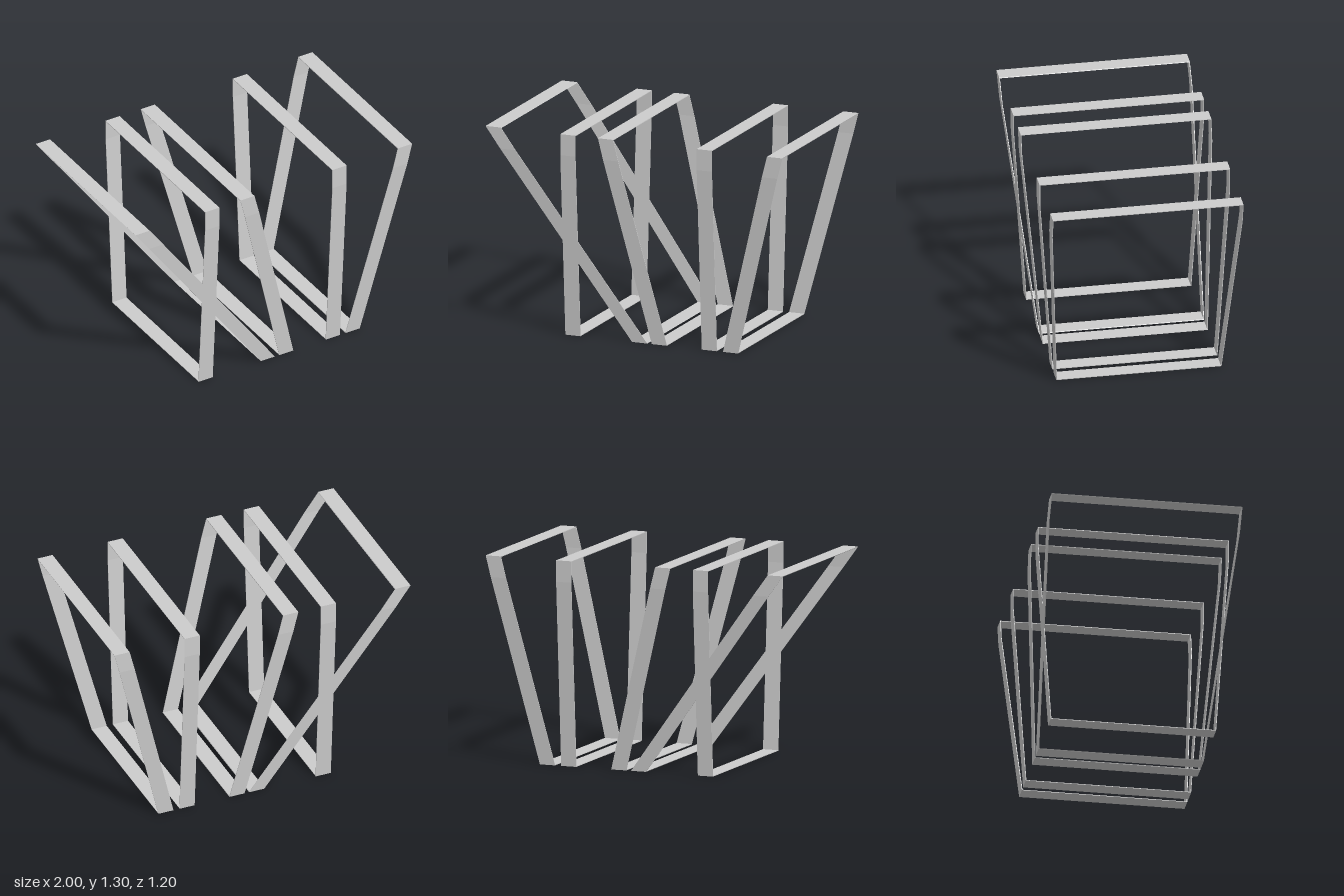
import * as THREE from 'three';

const HEIGHT = 1.305, KINK = 1.17, WIDTH = 0.102, THICK = 0.004;

// Half outline of a frame, from the bottom corner up to the top corner: [z, y]
const half = [[0.52, 0], [0.6, KINK], [0.6, HEIGHT]];
const outer = [...half, ...half.map(([z, y]) => [-z, y]).reverse()];
const inner = outer.map(([z, y]) => [
  z - Math.sign(z) * THICK,
  y === 0 ? THICK : y === HEIGHT ? HEIGHT - THICK : y,
]);

// A thin flat strip bent into a closed loop, leaning sideways from xBottom to xTop
function stripFrame(xBottom, xTop) {
  const positions = [], index = [];
  const centre = (y) => THREE.MathUtils.lerp(xBottom, xTop, y / HEIGHT);
  // Four corners of the strip's cross-section at every bend
  outer.forEach(([z, y], i) => {
    const [zi, yi] = inner[i];
    const x = centre(y), xi = centre(yi), w = WIDTH / 2;
    positions.push(x - w, y, z, x + w, y, z, xi + w, yi, zi, xi - w, yi, zi);
  });
  const n = outer.length;
  for (let i = 0; i < n; i++) {
    for (let k = 0; k < 4; k++) {
      const a = i * 4 + k, b = i * 4 + (k + 1) % 4;
      const c = ((i + 1) % n) * 4 + (k + 1) % 4, d = ((i + 1) % n) * 4 + k;
      index.push(a, b, c, a, c, d);
    }
  }
  const geometry = new THREE.BufferGeometry();
  geometry.setAttribute('position', new THREE.Float32BufferAttribute(positions, 3));
  geometry.setIndex(index);
  const flat = geometry.toNonIndexed();
  flat.computeVertexNormals();
  return flat;
}

export function createModel() {
  const model = new THREE.Group();
  model.name = 'stripFrames';
  const material = new THREE.MeshStandardMaterial({
    color: 0xcccccc, flatShading: true, side: THREE.DoubleSide,
  });
  // name, bottom centre x, top centre x
  const frames = [
    ['steepLeaningFrame', 0.005, -0.949],
    ['uprightFrameRight', -0.445, -0.445],
    ['leaningFrameMiddle', 0.138, -0.191],
    ['uprightFrameLeft', 0.475, 0.475],
    ['leaningFrameLeft', 0.618, 0.949],
  ];
  for (const [name, xBottom, xTop] of frames) {
    const mesh = new THREE.Mesh(stripFrame(xBottom, xTop), material);
    mesh.name = name;
    model.add(mesh);
  }
  return model;
}
